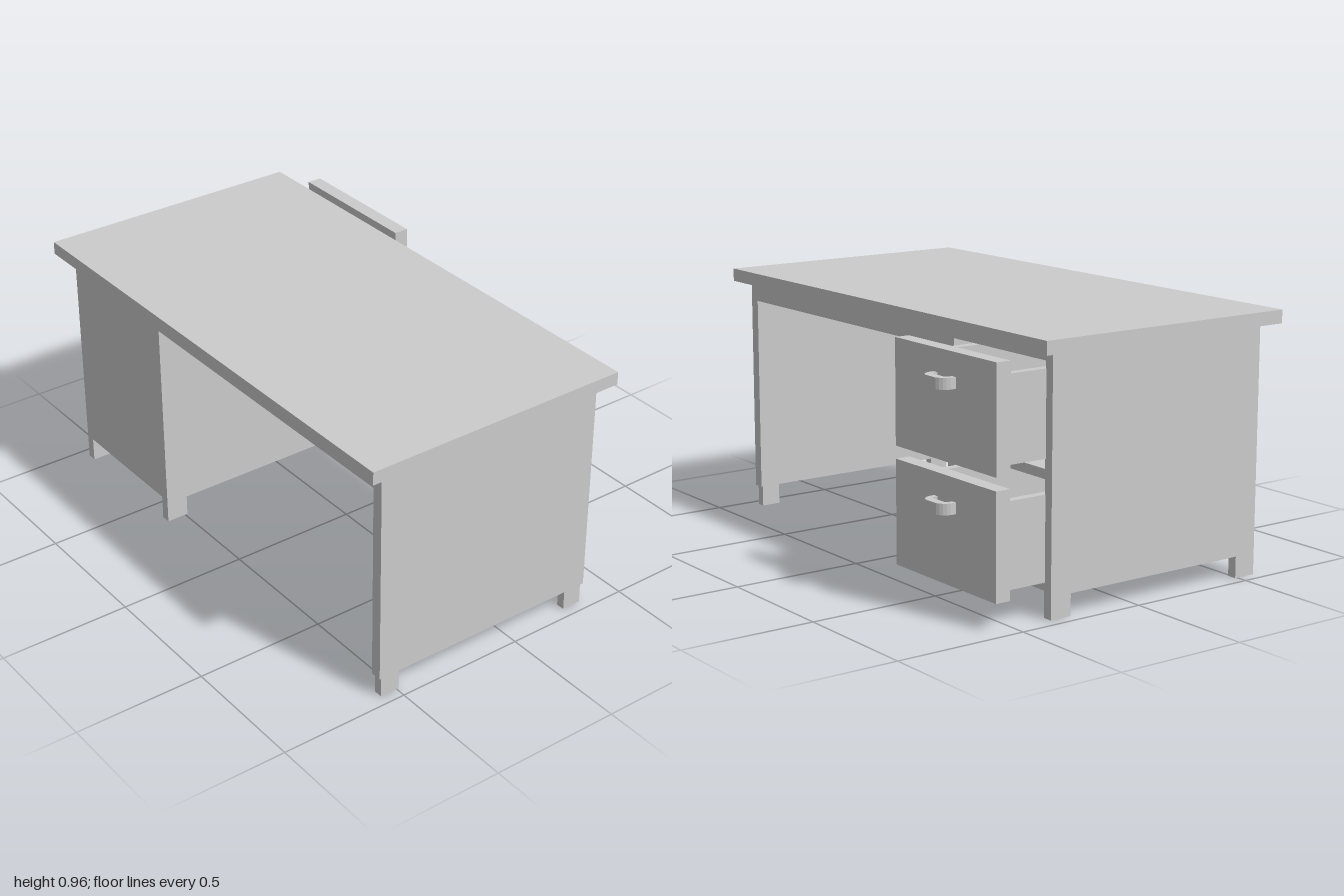
import * as THREE from 'three';

const material = new THREE.MeshStandardMaterial({ color: 0xcccccc, flatShading: true });

// Box given by its extents on each axis
function box(parent, name, [x0, x1], [y0, y1], [z0, z1]) {
  const mesh = new THREE.Mesh(new THREE.BoxGeometry(x1 - x0, y1 - y0, z1 - z0), material);
  mesh.position.set((x0 + x1) / 2, (y0 + y1) / 2, (z0 + z1) / 2);
  mesh.name = name;
  parent.add(mesh);
  return mesh;
}

// Bracket handle with rounded corners, laid flat and extruded upwards
function handle(parent, x, y, z) {
  const shape = new THREE.Shape();
  shape.moveTo(0, -0.063);
  shape.lineTo(0.022, -0.063);
  shape.quadraticCurveTo(0.048, -0.056, 0.058, -0.03);
  shape.lineTo(0.058, 0.03);
  shape.quadraticCurveTo(0.048, 0.056, 0.022, 0.063);
  shape.lineTo(0, 0.063);
  shape.lineTo(0, 0.042);
  shape.lineTo(0.016, 0.042);
  shape.lineTo(0.026, 0.032);
  shape.lineTo(0.026, -0.032);
  shape.lineTo(0.016, -0.042);
  shape.lineTo(0, -0.042);
  const geometry = new THREE.ExtrudeGeometry(shape, { depth: 0.04, bevelEnabled: false, curveSegments: 4 });
  geometry.rotateX(-Math.PI / 2);
  const mesh = new THREE.Mesh(geometry, material);
  mesh.position.set(x, y, z);
  mesh.name = 'handle';
  parent.add(mesh);
}

// Open drawer: thick front, hollow tray and handle; y is the front's lower edge
function drawer(name, y) {
  const g = new THREE.Group();
  g.name = name;
  const y0 = y + 0.026, y1 = y + 0.33;
  const back = -0.35, front = 0.52, near = -0.407, far = -0.923, t = 0.033;
  box(g, 'drawerFront', [front, 0.577], [y, y + 0.38], [-0.953, -0.377]);
  box(g, 'drawerBottom', [back, front], [y0, y0 + t], [far, near]);
  box(g, 'drawerSide', [back, front], [y0 + t, y1], [near - t, near]);
  box(g, 'drawerSide', [back, front], [y0 + t, y1], [far, far + t]);
  box(g, 'drawerInnerFront', [front - t, front], [y0 + t, y1], [far + t, near - t]);
  box(g, 'drawerBack', [back, back + t], [y0 + t, y1], [far + t, near - t]);
  handle(g, 0.577, y + 0.257, -0.667);
  return g;
}

export function createModel() {
  const desk = new THREE.Group();
  desk.name = 'desk';
  const depth = [-0.577, 0.35];

  // Top, the apron beneath it and the single side panel
  box(desk, 'deskTop', [-0.64, 0.41], [0.914, 0.963], [-1, 1]);
  box(desk, 'apron', depth, [0.838, 0.914], [-0.37, 0.92]);
  box(desk, 'sidePanel', depth, [0.08, 0.914], [0.92, 0.963]);
  for (const x of [[-0.567, -0.49], [0.265, 0.341]]) {
    box(desk, 'sidePanelFoot', x, [0, 0.08], [0.925, 0.958]);
  }

  // Drawer cabinet, open towards +x
  const cabinet = new THREE.Group();
  cabinet.name = 'cabinet';
  desk.add(cabinet);
  for (const z of [[-0.407, -0.37], [-0.957, -0.92]]) {
    box(cabinet, 'cabinetSide', depth, [0.08, 0.914], z);
    for (const x of [[-0.577, -0.49], [0.265, 0.35]]) box(cabinet, 'cabinetFoot', x, [0, 0.08], z);
  }
  const inner = [-0.92, -0.407];
  box(cabinet, 'cabinetBack', [-0.577, -0.54], [0.095, 0.914], inner);
  for (const [name, y0, y1] of [['cabinetBottom', 0.095, 0.12], ['cabinetDivider', 0.48, 0.515], ['cabinetTop', 0.88, 0.914]]) {
    box(cabinet, name, [-0.54, 0.35], [y0, y1], inner);
  }

  // Pulled-out drawers
  desk.add(drawer('lowerDrawer', 0.098), drawer('upperDrawer', 0.524));
  return desk;
}
